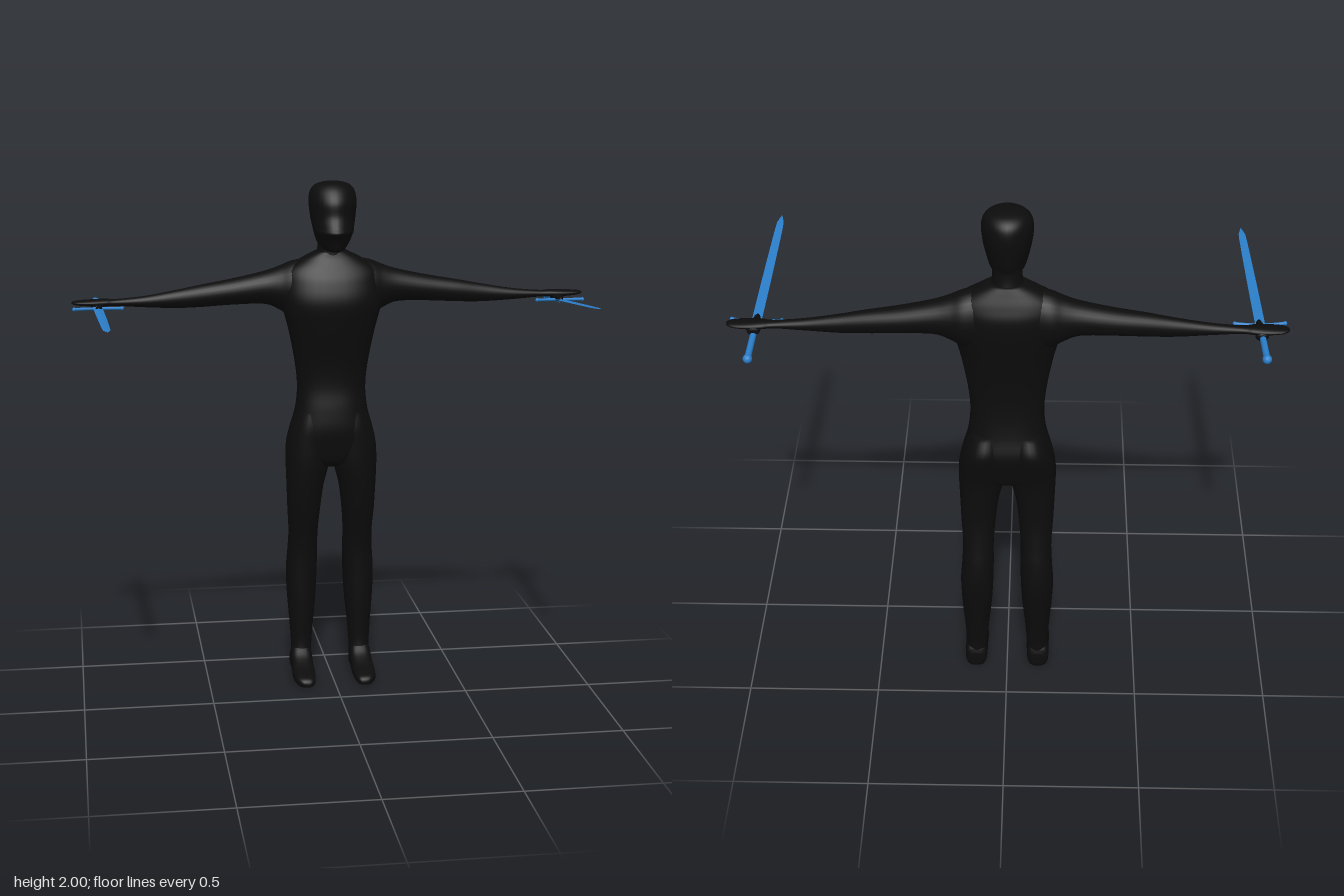
import * as THREE from 'three';

const black = new THREE.MeshStandardMaterial({ color: 0x0c0c0c });
black.name = 'black';
const blue = new THREE.MeshStandardMaterial({ color: 0x2b7fcb });
blue.name = 'blue';

// Smooth loft along an axis. Section: [t, aMin, aMax, bMin, bMax].
// (a, b) is (x, z) along y, (z, y) along x and (y, x) along z.
function loft(axis, sections, { p = 2, sides = 28, steps = 5 } = {}) {
  const low = new THREE.CatmullRomCurve3(sections.map(s => new THREE.Vector3(s[0], s[1], s[3])), false, 'catmullrom', 0.5);
  const high = new THREE.CatmullRomCurve3(sections.map(s => new THREE.Vector3(s[0], s[2], s[4])), false, 'catmullrom', 0.5);
  const rows = (sections.length - 1) * steps;
  const pos = [], idx = [];
  const put = (a, t, b) => {
    if (axis === 'y') pos.push(a, t, b);
    else if (axis === 'x') pos.push(t, b, a);
    else pos.push(b, a, t);
  };
  const power = v => Math.sign(v) * Math.pow(Math.abs(v), 2 / p);
  const centers = [];
  for (let i = 0; i <= rows; i++) {
    const l = low.getPoint(i / rows), h = high.getPoint(i / rows);
    const ca = (l.y + h.y) / 2, cb = (l.z + h.z) / 2;
    centers.push([ca, l.x, cb]);
    for (let j = 0; j < sides; j++) {
      const u = j / sides * Math.PI * 2;
      put(ca + power(Math.cos(u)) * (h.y - l.y) / 2, l.x, cb + power(Math.sin(u)) * (h.z - l.z) / 2);
    }
  }
  put(...centers[0]);
  put(...centers[rows]);
  const first = (rows + 1) * sides, last = first + 1;
  for (let j = 0; j < sides; j++) {
    const k = (j + 1) % sides;
    for (let i = 0; i < rows; i++) {
      const a = i * sides + j, b = i * sides + k;
      idx.push(a, a + sides, b, b, a + sides, b + sides);
    }
    idx.push(first, j, k, last, rows * sides + k, rows * sides + j);
  }
  const g = new THREE.BufferGeometry();
  g.setAttribute('position', new THREE.Float32BufferAttribute(pos, 3));
  g.setIndex(idx);
  g.computeVertexNormals();
  return g;
}

// Reflects a geometry in x and restores its winding.
function mirrored(geometry) {
  const g = geometry.clone().scale(-1, 1, 1);
  const ix = g.index.array;
  for (let i = 0; i < ix.length; i += 3) [ix[i], ix[i + 1]] = [ix[i + 1], ix[i]];
  g.computeVertexNormals();
  return g;
}

function add(parent, name, geometry, material) {
  const m = new THREE.Mesh(geometry, material);
  m.name = name;
  parent.add(m);
  return m;
}

function createSword(name, pommel, tip) {
  const sword = new THREE.Group();
  sword.name = name;
  const a = new THREE.Vector3(...pommel), d = new THREE.Vector3(...tip).sub(a);
  const length = d.length();
  sword.position.copy(a);
  sword.quaternion.setFromUnitVectors(new THREE.Vector3(0, 0, 1), d.normalize());

  add(sword, 'pommel', new THREE.SphereGeometry(0.017, 16, 12), blue);
  add(sword, 'grip', new THREE.CylinderGeometry(0.011, 0.012, 0.22, 14).rotateX(Math.PI / 2).translate(0, 0, 0.11), blue);

  // crossguard bows slightly towards the blade
  const bow = new THREE.CatmullRomCurve3([[-0.09, 0.222], [-0.045, 0.215], [0, 0.212], [0.045, 0.215], [0.09, 0.222]]
    .map(([x, z]) => new THREE.Vector3(x, 0, z)));
  add(sword, 'crossguard', new THREE.TubeGeometry(bow, 20, 0.006, 8), blue);
  for (const s of [-1, 1]) {
    add(sword, 'guardEnd', new THREE.SphereGeometry(0.008, 10, 8).translate(s * 0.09, 0, 0.222), blue);
  }

  // thin diamond-section blade
  const blade = loft('z', [
    [0.21, -0.0035, 0.0035, -0.018, 0.018],
    [0.5, -0.003, 0.003, -0.017, 0.017],
    [length - 0.08, -0.0025, 0.0025, -0.014, 0.014],
    [length - 0.03, -0.002, 0.002, -0.009, 0.009],
    [length, -0.0004, 0.0004, -0.001, 0.001]], { sides: 4, steps: 3 }).toNonIndexed();
  blade.computeVertexNormals();
  add(sword, 'blade', blade, blue);
  return sword;
}

export function createModel() {
  const model = new THREE.Group();
  model.name = 'swordsman';

  add(model, 'torso', loft('y', [
    [0.875, -0.06, 0.06, -0.32, -0.24],
    [0.90, -0.15, 0.15, -0.35, -0.205],
    [0.96, -0.177, 0.177, -0.365, -0.19],
    [1.03, -0.165, 0.165, -0.38, -0.18],
    [1.11, -0.143, 0.143, -0.36, -0.185],
    [1.20, -0.135, 0.135, -0.345, -0.195],
    [1.30, -0.145, 0.145, -0.342, -0.186],
    [1.42, -0.168, 0.168, -0.352, -0.158],
    [1.53, -0.195, 0.195, -0.367, -0.14],
    [1.61, -0.195, 0.195, -0.368, -0.157],
    [1.66, -0.18, 0.18, -0.352, -0.18],
    [1.70, -0.12, 0.12, -0.333, -0.202],
    [1.73, -0.06, 0.06, -0.318, -0.212]], { p: 2.25, sides: 36 }), black);

  add(model, 'neck', loft('y', [
    [1.67, -0.09, 0.09, -0.335, -0.20],
    [1.72, -0.06, 0.06, -0.318, -0.208],
    [1.77, -0.053, 0.053, -0.309, -0.205],
    [1.83, -0.06, 0.06, -0.31, -0.18]]), black);

  // head profile: chin, lips, nose, brow, crown
  add(model, 'head', loft('y', [
    [1.736, -0.022, 0.022, -0.20, -0.14],
    [1.745, -0.042, 0.042, -0.26, -0.124],
    [1.77, -0.062, 0.062, -0.303, -0.115],
    [1.79, -0.07, 0.07, -0.312, -0.104],
    [1.81, -0.076, 0.076, -0.318, -0.083],
    [1.83, -0.08, 0.08, -0.322, -0.094],
    [1.87, -0.087, 0.087, -0.328, -0.113],
    [1.92, -0.092, 0.092, -0.331, -0.118],
    [1.96, -0.087, 0.087, -0.322, -0.14],
    [1.985, -0.068, 0.068, -0.297, -0.167],
    [1.997, -0.035, 0.035, -0.26, -0.195],
    [2.0, -0.003, 0.003, -0.23, -0.224]], { p: 1.9, sides: 32 }), black);

  const limbs = {
    leg: loft('y', [
      [0.04, 0.078, 0.16, -0.355, -0.26],
      [0.12, 0.077, 0.159, -0.355, -0.278],
      [0.22, 0.069, 0.165, -0.365, -0.275],
      [0.32, 0.059, 0.173, -0.38, -0.27],
      [0.43, 0.053, 0.177, -0.39, -0.267],
      [0.52, 0.051, 0.171, -0.382, -0.262],
      [0.60, 0.051, 0.168, -0.366, -0.248],
      [0.70, 0.043, 0.174, -0.35, -0.225],
      [0.80, 0.03, 0.178, -0.35, -0.207],
      [0.89, 0.008, 0.181, -0.355, -0.196],
      [0.97, 0.004, 0.178, -0.375, -0.192],
      [1.04, 0.012, 0.158, -0.388, -0.19],
      [1.11, 0.025, 0.13, -0.358, -0.2]], { p: 2.1 }),
    foot: loft('z', [
      [-0.359, 0.015, 0.07, 0.095, 0.145],
      [-0.345, 0.0, 0.10, 0.081, 0.162],
      [-0.30, 0.0, 0.125, 0.077, 0.163],
      [-0.25, 0.0, 0.085, 0.077, 0.164],
      [-0.20, 0.0, 0.06, 0.076, 0.166],
      [-0.15, 0.0, 0.045, 0.08, 0.162],
      [-0.122, 0.0, 0.035, 0.088, 0.148],
      [-0.108, 0.006, 0.022, 0.1, 0.13]], { p: 2.7 }),
    arm: loft('x', [
      [0.08, -0.35, -0.19, 1.46, 1.705],
      [0.15, -0.358, -0.192, 1.47, 1.692],
      [0.20, -0.347, -0.208, 1.50, 1.672],
      [0.26, -0.338, -0.22, 1.524, 1.652],
      [0.38, -0.328, -0.229, 1.524, 1.626],
      [0.50, -0.315, -0.236, 1.518, 1.605],
      [0.60, -0.304, -0.244, 1.516, 1.586],
      [0.72, -0.294, -0.249, 1.522, 1.566],
      [0.83, -0.291, -0.252, 1.53, 1.556],
      [0.87, -0.299, -0.245, 1.529, 1.558],
      [0.92, -0.303, -0.24, 1.53, 1.557],
      [0.97, -0.299, -0.244, 1.534, 1.554],
      [0.992, -0.288, -0.255, 1.538, 1.551],
      [1.0, -0.275, -0.268, 1.542, 1.547]]),
    thumb: loft('z', [
      [-0.265, 1.522, 1.55, 0.875, 0.918],
      [-0.235, 1.517, 1.543, 0.88, 0.914],
      [-0.205, 1.518, 1.54, 0.886, 0.909],
      [-0.19, 1.525, 1.535, 0.893, 0.902]], { sides: 14 }),
    fingers: loft('z', [
      [-0.305, 1.522, 1.54, 0.89, 0.915],
      [-0.295, 1.511, 1.548, 0.878, 0.925],
      [-0.255, 1.511, 1.548, 0.878, 0.925],
      [-0.243, 1.522, 1.54, 0.888, 0.916]], { sides: 16 }),
  };
  for (const [name, geometry] of Object.entries(limbs)) {
    const label = name[0].toUpperCase() + name.slice(1);
    add(model, 'left' + label, geometry, black);
    add(model, 'right' + label, mirrored(geometry), black);
  }

  model.add(createSword('leftSword', [0.905, 1.502, -0.435], [0.88, 1.59, 0.43]));
  model.add(createSword('rightSword', [-0.907, 1.522, -0.43], [-0.88, 1.55, 0.44]));
  return model;
}
